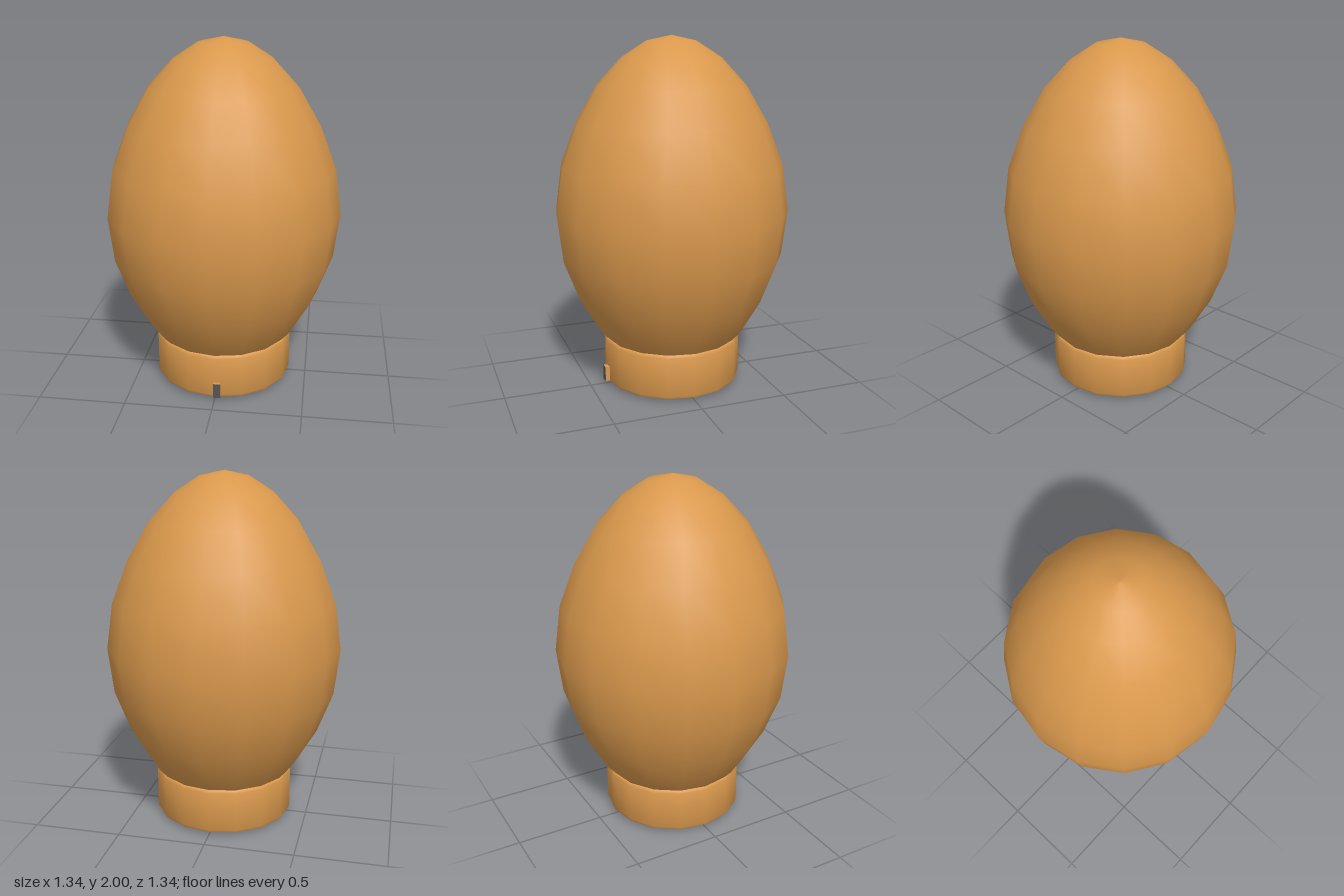
import * as THREE from 'three';
import { toCreasedNormals } from 'three/addons/utils/BufferGeometryUtils.js';

const SIDES = 16;
const amber = new THREE.MeshStandardMaterial({ color: 0xd9984c });
const dark = new THREE.MeshStandardMaterial({ color: 0x555555 });

// Revolve [radius, height] pairs, listed from bottom to top
function lathe(profile) {
  return new THREE.LatheGeometry(profile.map(([r, y]) => new THREE.Vector2(r, y)), SIDES);
}

export function createModel() {
  const model = new THREE.Group();
  const add = (name, geometry, material) => {
    const mesh = new THREE.Mesh(geometry, material);
    mesh.name = name;
    model.add(mesh);
    return mesh;
  };

  // Egg-shaped shell, its lower end sunk into the base
  add('eggShell', lathe([
    [0, 0.07], [0.15, 0.1], [0.3, 0.18], [0.43, 0.325], [0.55, 0.53], [0.637, 0.76], [0.668, 1.02],
    [0.632, 1.28], [0.54, 1.52], [0.417, 1.73], [0.278, 1.88], [0.138, 1.97], [0, 2],
  ]), amber);

  // Round base with softened rims and a very shallow underside
  add('base', toCreasedNormals(lathe([
    [0, 0], [0.37, 0.013], [0.393, 0.02], [0.4, 0.035],
    [0.4, 0.262], [0.393, 0.276], [0.378, 0.282], [0, 0.282],
  ]), 0.75), amber);

  // Small switch on the front with a dark face
  add('switchBody', new THREE.BoxGeometry(0.042, 0.086, 0.04), amber).position.set(0.016, 0.072, 0.399);
  add('switchFace', new THREE.BoxGeometry(0.042, 0.086, 0.002), dark).position.set(0.016, 0.072, 0.42);

  return model;
}
